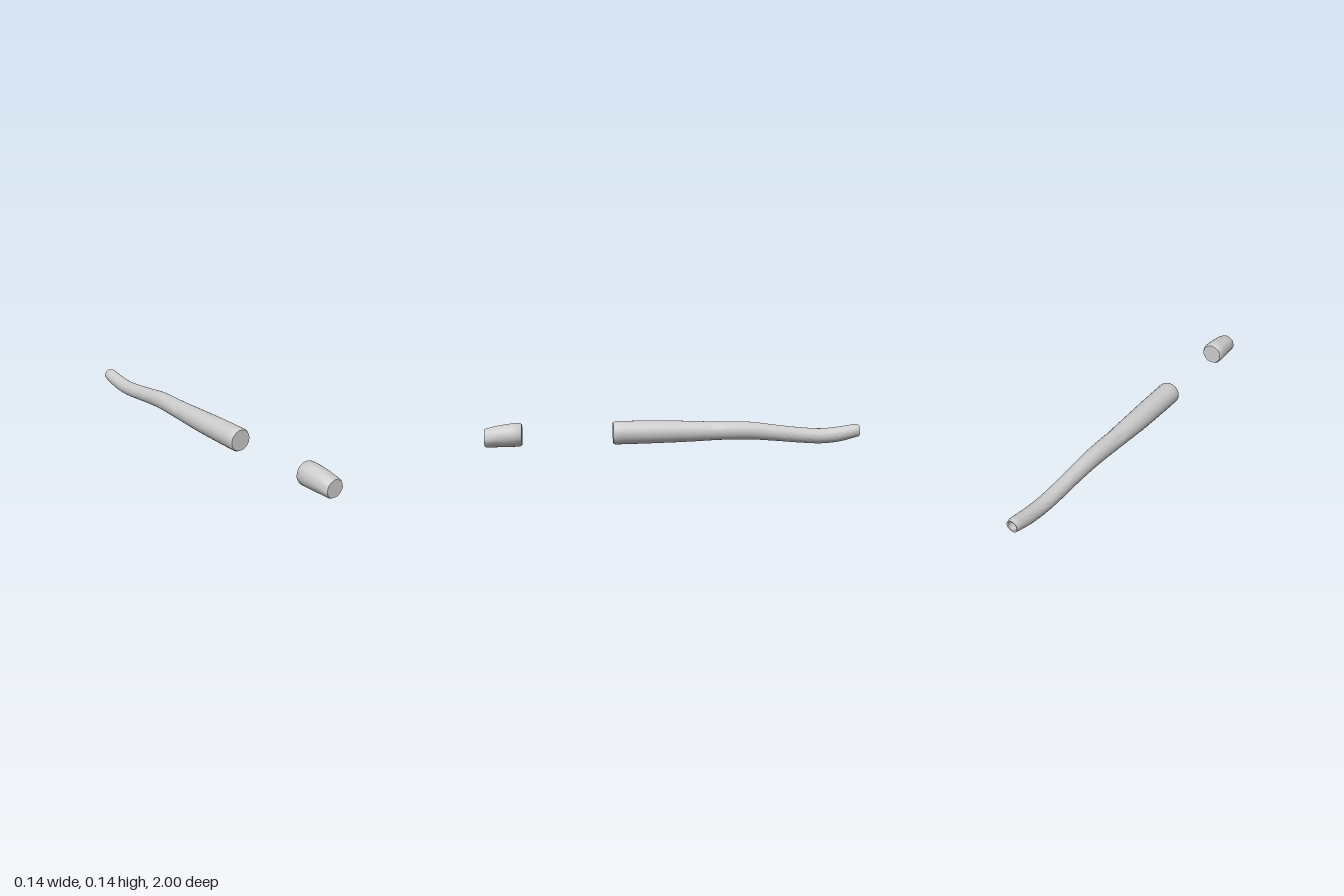
import * as THREE from 'three';
import { toCreasedNormals } from 'three/addons/utils/BufferGeometryUtils.js';

const SIDES = 28;
const material = new THREE.MeshStandardMaterial({ color: 0xcccccc, side: THREE.DoubleSide });

// Resample sections [z, xMin, xMax, yMin, yMax] smoothly, keeping the given ends
function refine(sections, steps) {
  const low = new THREE.CatmullRomCurve3(sections.map(s => new THREE.Vector3(s[0], s[1], s[3])));
  const high = new THREE.CatmullRomCurve3(sections.map(s => new THREE.Vector3(s[0], s[2], s[4])));
  return Array.from({ length: steps + 1 }, (_, i) => {
    const a = low.getPoint(i / steps), b = high.getPoint(i / steps);
    return [a.z === undefined ? 0 : a.x, a.y, b.y, a.z, b.z];
  });
}

// Shrink a section about its centre and move it along z
function inset([z, x0, x1, y0, y1], d, dz) {
  return [z + dz, x0 + d, x1 - d, y0 + d, y1 - d];
}

// Skin oval rings running from +z to -z, closing both ends with a fan
function loft(sections, radiusRule = () => 1) {
  const pos = [], index = [];
  const centre = ([z, x0, x1, y0, y1]) => [(x0 + x1) / 2, (y0 + y1) / 2, z];
  for (const s of sections) {
    const [cx, cy, z] = centre(s);
    for (let j = 0; j < SIDES; j++) {
      const a = (j / SIDES) * Math.PI * 2;
      const k = radiusRule(a, z);
      pos.push(cx + Math.cos(a) * k * (s[2] - s[1]) / 2, cy + Math.sin(a) * k * (s[4] - s[3]) / 2, z);
    }
  }
  const last = sections.length - 1, front = pos.length / 3;
  pos.push(...centre(sections[0]), ...centre(sections[last]));
  for (let j = 0; j < SIDES; j++) {
    const n = (j + 1) % SIDES;
    for (let i = 0; i < last; i++) {
      const a = i * SIDES + j, b = i * SIDES + n;
      index.push(a, a + SIDES, b, b, a + SIDES, b + SIDES);
    }
    index.push(front, j, n, front + 1, last * SIDES + n, last * SIDES + j);
  }
  const g = new THREE.BufferGeometry();
  g.setAttribute('position', new THREE.Float32BufferAttribute(pos, 3));
  g.setIndex(index);
  return toCreasedNormals(g, 0.7);
}

function addPart(group, name, geometry) {
  const mesh = new THREE.Mesh(geometry, material);
  mesh.name = name;
  group.add(mesh);
}

export function createModel() {
  const group = new THREE.Group();
  group.name = 'rodAndEndPiece';

  // Long tapering rod that dips and then lifts at its tip
  const rod = refine([
    [0.32, -0.069, 0.057, 0.016, 0.14],
    [0.15, -0.066, 0.056, 0.018, 0.14],
    [0, -0.061, 0.054, 0.021, 0.137],
    [-0.2, -0.047, 0.053, 0.027, 0.13],
    [-0.4, -0.034, 0.055, 0.03, 0.126],
    [-0.55, -0.024, 0.058, 0.02, 0.107],
    [-0.7, -0.018, 0.061, 0.007, 0.09],
    [-0.8, -0.013, 0.064, 0.003, 0.085],
    [-0.9, -0.01, 0.066, 0.013, 0.094],
    [-0.98, -0.007, 0.066, 0.033, 0.106],
  ], 60);
  const tip = rod[rod.length - 1];
  // Bevelled front edge, rounded tip lip and hollow socket behind it
  const rodSections = [
    inset(rod[0], 0.006, 0.012), ...rod,
    inset(tip, 0.005, -0.02), inset(tip, 0.012, -0.018), inset(tip, 0.018, 0.05),
  ];
  // Small dents on both flanks and one long groove underneath
  const dents = [[2.5, -0.2, 0.14, 0.022, 0.2], [0.75, -0.2, 0.12, 0.022, 0.2], [4.9, -0.26, 0.06, 0.1, 0.25]];
  const dented = (a, z) => dents.reduce((k, [da, dz, depth, len, wide]) =>
    k - depth * Math.exp(-(((a - da) / wide) ** 2) - ((z - dz) / len) ** 2), 1);
  addPart(group, 'rod', loft(rodSections, dented));

  // Short separate end piece, narrowing to a slightly faceted front
  const end = [
    [0.99, -0.056, 0.051, 0.015, 0.114],
    [0.95, -0.06, 0.053, 0.015, 0.124],
    [0.9, -0.064, 0.055, 0.015, 0.133],
    [0.86, -0.067, 0.056, 0.015, 0.138],
    [0.82, -0.068, 0.056, 0.016, 0.14],
  ];
  const endSections = [inset(end[0], 0.005, 0.01), ...end, inset(end[4], 0.007, -0.012)];
  const faceted = (a, z) => 1 + 0.025 * Math.cos(7 * (a + 0.2)) * Math.min(1, Math.abs(z - 0.88) / 0.1);
  addPart(group, 'endPiece', loft(endSections, faceted));

  return group;
}
